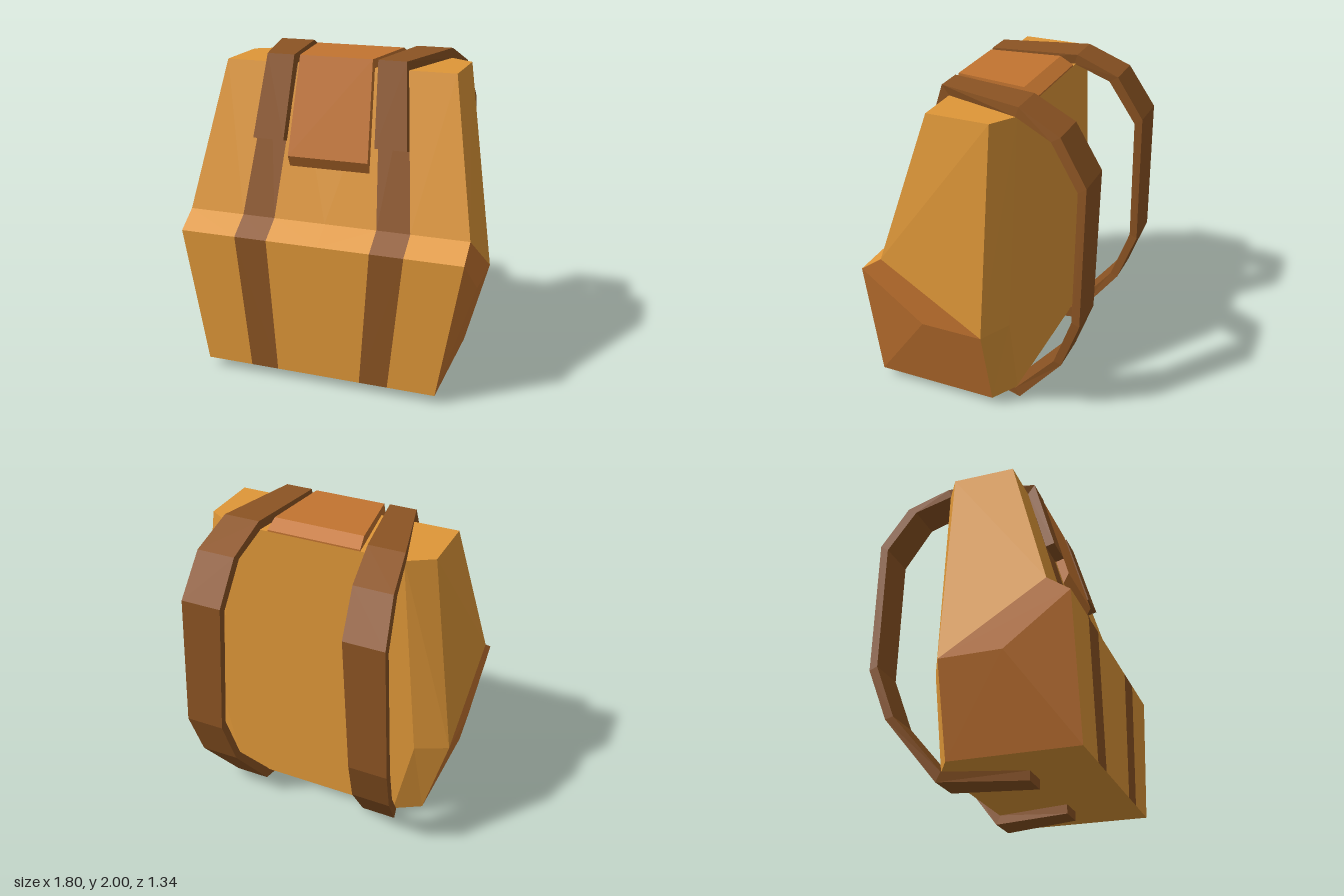
import * as THREE from 'three';

const makeMat = (name, color) => {
  const m = new THREE.MeshStandardMaterial({ color });
  m.name = name;
  return m;
};

// Flat-faced mesh from convex polygons (corners counter-clockwise), optionally mirrored in x
function facesMesh(name, mat, faces, mirror = false) {
  const pos = [];
  const add = (f) => {
    for (let i = 1; i < f.length - 1; i++) pos.push(...f[0], ...f[i], ...f[i + 1]);
  };
  for (const f of faces) {
    add(f);
    if (mirror) add([f[0], ...f.slice(1).reverse()].map(([x, y, z]) => [-x, y, z]));
  }
  const g = new THREE.BufferGeometry();
  g.setAttribute('position', new THREE.Float32BufferAttribute(pos, 3));
  g.computeVertexNormals();
  const mesh = new THREE.Mesh(g, mat);
  mesh.name = name;
  return mesh;
}

// Band faces from stations: [x0, x1, outerZ, outerY, innerZ, innerY]
function bandFaces(stations) {
  const rings = stations.map(([x0, x1, oz, oy, iz, iy]) =>
    [[x0, oy, oz], [x1, oy, oz], [x1, iy, iz], [x0, iy, iz]]);
  const faces = [[...rings[0]].reverse(), rings[rings.length - 1]];
  for (let k = 0; k < rings.length - 1; k++) {
    for (let j = 0; j < 4; j++) {
      const n = (j + 1) % 4;
      faces.push([rings[k][j], rings[k][n], rings[k + 1][n], rings[k + 1][j]]);
    }
  }
  return faces;
}

export function createModel() {
  const ochre = makeMat('ochre canvas', 0xdf9738);
  const leather = makeMat('tan leather', 0xc37430);
  const strapBrown = makeMat('brown strap', 0x8c5423);
  const group = new THREE.Group();
  group.name = 'backpack';

  // Corners of the left half: top, middle, bottom
  const T1 = [0.73, 1.94, 0.27], T2 = [0.73, 1.94, -0.12], T3 = [0.57, 1.94, -0.22];
  const M1 = [0.9, 1.02, 0.53], M2 = [0.9, 0.62, -0.12], M3 = [0.7, 0.62, -0.22];
  const P1 = [0.9, 0.92, 0.67], P2 = [0.9, 0.62, 0.27];
  const B1 = [0.75, 0.06, 0.67], B2 = [0.75, 0.06, -0.12], B3 = [0.58, 0.06, -0.22];

  // Front rows: y, z, stripe inner x, stripe outer x, edge x
  const rows = [
    [0.06, 0.67, 0.27, 0.45, 0.75],
    [0.92, 0.67, 0.33, 0.54, 0.9],
    [1.02, 0.53, 0.33, 0.54, 0.9],
    [1.94, 0.27, 0.26, 0.44, 0.73],
  ];
  const front = [], stripes = [];
  for (let r = 0; r < rows.length - 1; r++) {
    const [lo, hi] = [rows[r], rows[r + 1]].map(([y, z, ...xs]) => [0, ...xs].map((x) => [x, y, z]));
    for (let c = 0; c < 3; c++) {
      (c === 1 ? stripes : front).push([lo[c], lo[c + 1], hi[c + 1], hi[c]]);
    }
  }

  // Main bag: front, sides, back chamfers, back, top and bottom
  group.add(facesMesh('bagBody', ochre, [
    ...front,
    [M1, M2, T2, T1],
    [M2, M3, T3, T2],
    [B2, B3, M3, M2],
    [T3, M3, B3, [0, 0.06, -0.22], [0, 1.94, -0.22]],
    [[0, 1.94, 0.27], T1, T2, T3, [0, 1.94, -0.22]],
    [[0, 0.06, -0.22], B3, B2, B1, [0, 0.06, 0.67]],
  ], true));
  group.add(facesMesh('frontStripes', strapBrown, stripes, true));

  // Leather lower sides
  group.add(facesMesh('sidePanels', leather, [
    [P1, P2, M2, M1],
    [P2, B1, B2, M2],
    [P1, B1, P2],
  ], true));

  // Flap over the top and upper front
  group.add(facesMesh('topFlap', leather, bandFaces([
    [-0.255, 0.255, 0.475, 1.41, 0.44, 1.34],
    [-0.23, 0.23, 0.31, 2.0, 0.27, 1.94],
    [-0.29, 0.29, -0.14, 2.0, -0.14, 1.94],
    [-0.3, 0.3, -0.22, 1.95, -0.22, 1.94],
  ])));

  // Shoulder straps, from the front tab over the top, round the back and under the bag
  group.add(facesMesh('shoulderStraps', strapBrown, bandFaces([
    [0.29, 0.49, 0.455, 1.5, 0.4, 1.485],
    [0.265, 0.44, 0.315, 2.0, 0.27, 1.94],
    [0.35, 0.58, -0.23, 2.0, -0.21, 1.94],
    [0.375, 0.62, -0.495, 1.88, -0.44, 1.845],
    [0.39, 0.65, -0.665, 1.615, -0.615, 1.58],
    [0.44, 0.69, -0.665, 0.72, -0.615, 0.74],
    [0.42, 0.67, -0.55, 0.395, -0.5, 0.41],
    [0.37, 0.6, -0.245, 0, -0.215, 0.06],
    [0.27, 0.45, 0.27, 0, 0.27, 0.06],
  ]), true));

  return group;
}
